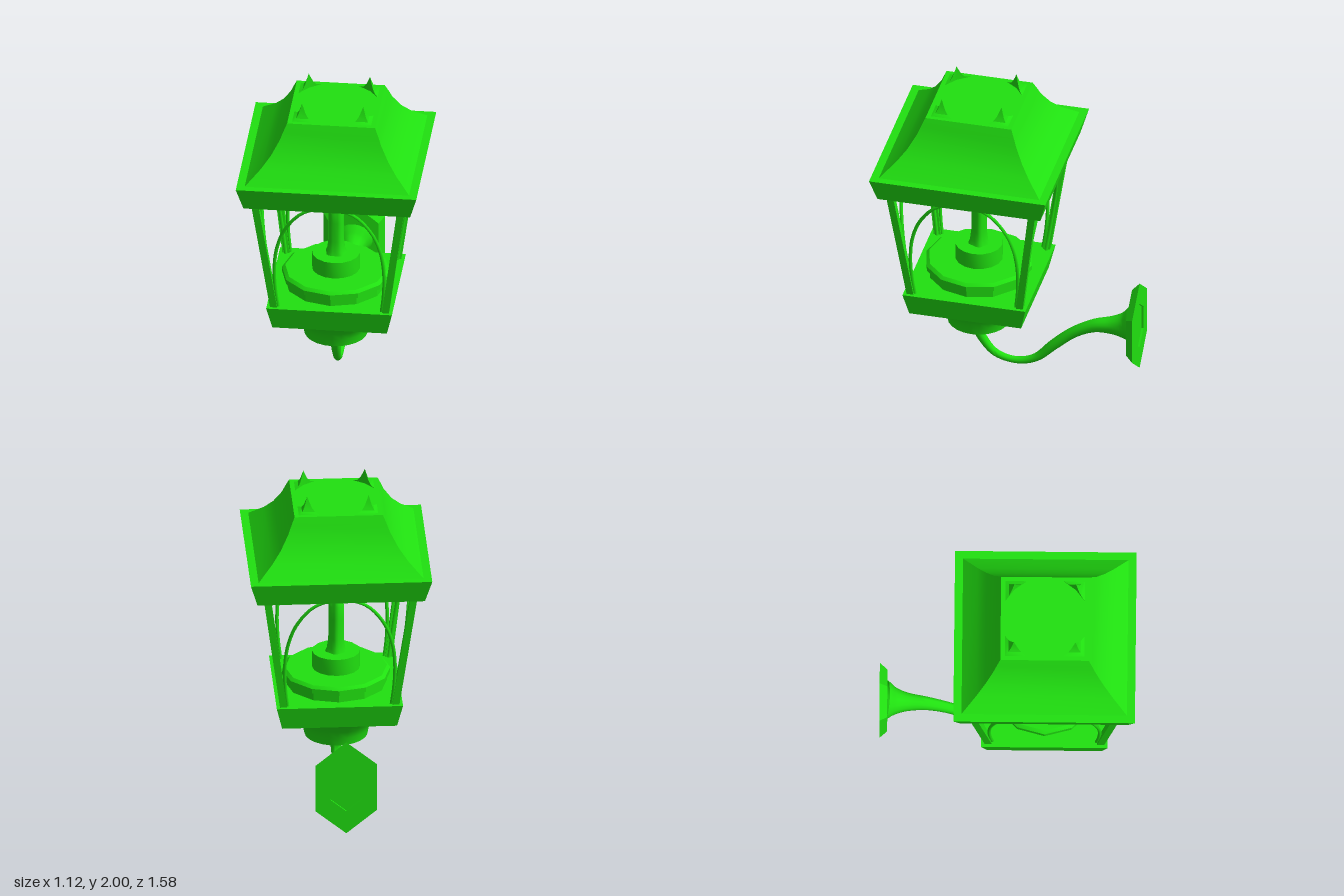
import * as THREE from 'three';
import { toCreasedNormals } from 'three/addons/utils/BufferGeometryUtils.js';

const material = new THREE.MeshStandardMaterial({ color: 0x20e010, side: THREE.DoubleSide });

function addPart(parent, name, geometry, crease = 0.6) {
  const mesh = new THREE.Mesh(toCreasedNormals(geometry, crease), material);
  mesh.name = name;
  parent.add(mesh);
  return mesh;
}

// Turned profile, points listed from bottom to top as [radius, height]
function turned(points, sides) {
  return new THREE.LatheGeometry(points.map(([r, y]) => new THREE.Vector2(r, y)), sides);
}

// Square section whose profile gives half widths instead of radii
function square(points) {
  return turned(points.map(([w, y]) => [w * Math.SQRT2, y]), 4).rotateY(Math.PI / 4);
}

// Moves every vertex of a geometry by a rule
function bend(geometry, rule) {
  const pos = geometry.attributes.position;
  const v = new THREE.Vector3();
  for (let i = 0; i < pos.count; i++) {
    v.fromBufferAttribute(pos, i);
    rule(v, i);
    pos.setXYZ(i, v.x, v.y, v.z);
  }
  return geometry;
}

// Distance of the sloping side panels from the lantern axis
const panel = (y) => 0.347 + 0.136 * (y - 0.65);

// Corner finial: a kite base drawn up in a concave taper to its inner corner
function finialGeometry() {
  const base = [[0.245, 0.245], [0.115, 0.245], [0.19, 0.19], [0.245, 0.115]];
  const rings = [[1, 1.9], [0.6, 1.91], [0.35, 1.935], [0.18, 1.965], [0, 2]];
  const position = [], index = [];
  for (const [s, y] of rings) {
    for (const [x, z] of base) position.push(0.19 + (x - 0.19) * s, y, 0.19 + (z - 0.19) * s);
  }
  for (let r = 0; r < rings.length - 1; r++) {
    for (let k = 0; k < 4; k++) {
      const a = r * 4 + k, b = r * 4 + (k + 1) % 4;
      index.push(a, b, b + 4, a, b + 4, a + 4);
    }
  }
  const geometry = new THREE.BufferGeometry();
  geometry.setAttribute('position', new THREE.Float32BufferAttribute(position, 3));
  geometry.setIndex(index);
  return geometry;
}

// Swept arm with its own radius at each control point [z, y, radius]
function armGeometry() {
  const stations = [
    [0.235, 0.3, 0.085], [0.235, 0.25, 0.042], [0.215, 0.17, 0.03], [0.13, 0.063, 0.024],
    [0, 0.026, 0.022], [-0.13, 0.063, 0.026], [-0.25, 0.18, 0.033], [-0.37, 0.285, 0.035],
    [-0.5, 0.355, 0.042], [-0.62, 0.378, 0.058], [-0.7, 0.39, 0.088], [-0.75, 0.4, 0.125],
  ];
  const path = new THREE.CatmullRomCurve3(
    stations.map(([z, y]) => new THREE.Vector3(0, y, z)), false, 'catmullrom', 0.5);
  const radii = new THREE.SplineCurve(stations.map(([, , r], i) => new THREE.Vector2(i, r)));
  const steps = 60, sides = 14;
  const tube = new THREE.TubeGeometry(path, steps, 1, sides, false);
  return bend(tube, (v, i) => {
    const u = Math.floor(i / (sides + 1)) / steps;
    const t = path.getUtoTmapping(u);
    v.sub(path.getPoint(t)).multiplyScalar(radii.getPoint(t).y).add(path.getPoint(t));
  });
}

export function createModel() {
  const model = new THREE.Group();
  model.name = 'wallLantern';
  const lantern = new THREE.Group();
  lantern.name = 'lantern';
  lantern.position.z = 0.23;
  model.add(lantern);

  // Roof: flared eave band, concave hip and flat top
  addPart(lantern, 'eaveBand', square([[0, 1.42], [0.517, 1.42], [0.56, 1.57], [0, 1.57]]));
  addPart(lantern, 'roof', square([[0.51, 1.57], [0.42, 1.65], [0.365, 1.715],
    [0.315, 1.8], [0.295, 1.85], [0.273, 1.9], [0, 1.9]]));
  const finial = finialGeometry();
  for (let i = 0; i < 4; i++) {
    addPart(lantern, 'roofFinial', finial).rotation.y = i * Math.PI / 2;
  }

  // Leaning corner posts
  for (const sx of [-1, 1]) {
    for (const sz of [-1, 1]) {
      const post = new THREE.BoxGeometry(0.044, 0.79, 0.044).translate(0, 1.035, 0);
      addPart(lantern, 'cornerPost', bend(post, (v) => {
        v.x += sx * panel(v.y);
        v.z += sz * panel(v.y);
      }));
    }
  }

  // One arch in each sloping side
  const half = [[0.32, 0.64], [0.336, 0.78], [0.34, 0.94], [0.32, 1.1], [0.265, 1.245], [0.155, 1.37]];
  const outline = [...half, [0, 1.412], ...half.map(([x, y]) => [-x, y]).reverse()];
  const archPath = new THREE.CatmullRomCurve3(
    outline.map(([x, y]) => new THREE.Vector3(x, y, panel(y))));
  const arch = new THREE.TubeGeometry(archPath, 48, 0.011, 6);
  for (let i = 0; i < 4; i++) {
    addPart(lantern, 'sideArch', arch, 1.1).rotation.y = i * Math.PI / 2;
  }

  // Base block with the bowl beneath it
  addPart(lantern, 'baseBlock', square([[0, 0.5], [0.355, 0.5], [0.39, 0.65], [0, 0.65]]));
  addPart(lantern, 'bowl', turned([[0, 0.265], [0.115, 0.265], [0.13, 0.3], [0.195, 0.3],
    [0.205, 0.35], [0.228, 0.4], [0.268, 0.45], [0.32, 0.5]], 24));

  // Candle dish, cup and candle
  addPart(lantern, 'candleDish', turned([[0.315, 0.65], [0.315, 0.7], [0.335, 0.705],
    [0.335, 0.735], [0.315, 0.752], [0, 0.752]], 12), 0.4);
  addPart(lantern, 'candleCup', turned([[0.148, 0.75], [0.148, 0.86], [0, 0.86]], 16));
  const candle = turned([[0.064, 0.86], [0.054, 0.885], [0.047, 0.95], [0.046, 1.08],
    [0.047, 1.17], [0.039, 1.2], [0.026, 1.195], [0.02, 1.17], [0, 1.165]], 20);
  addPart(lantern, 'candle', bend(candle, (v) => {
    const a = Math.atan2(v.z, v.x);
    const wobble = 1 + 0.08 * Math.sin(5 * a + 3 * v.y);
    v.x *= wobble;
    v.z *= wobble;
    if (v.y > 1.18) v.y += 0.012 * Math.sin(3 * a);
  }), 1);

  // Curved arm and stretched six-sided wall plate with a shallow recess behind
  addPart(model, 'arm', armGeometry(), 1);
  const plate = turned([[0, -0.778], [0.16, -0.778], [0.16, -0.79], [0.31, -0.79],
    [0.255, -0.742], [0, -0.742]], 6);
  plate.rotateX(Math.PI / 2).scale(0.708, 1, 1).translate(0, 0.4, 0);
  addPart(model, 'wallPlate', plate, 0.3);

  return model;
}
